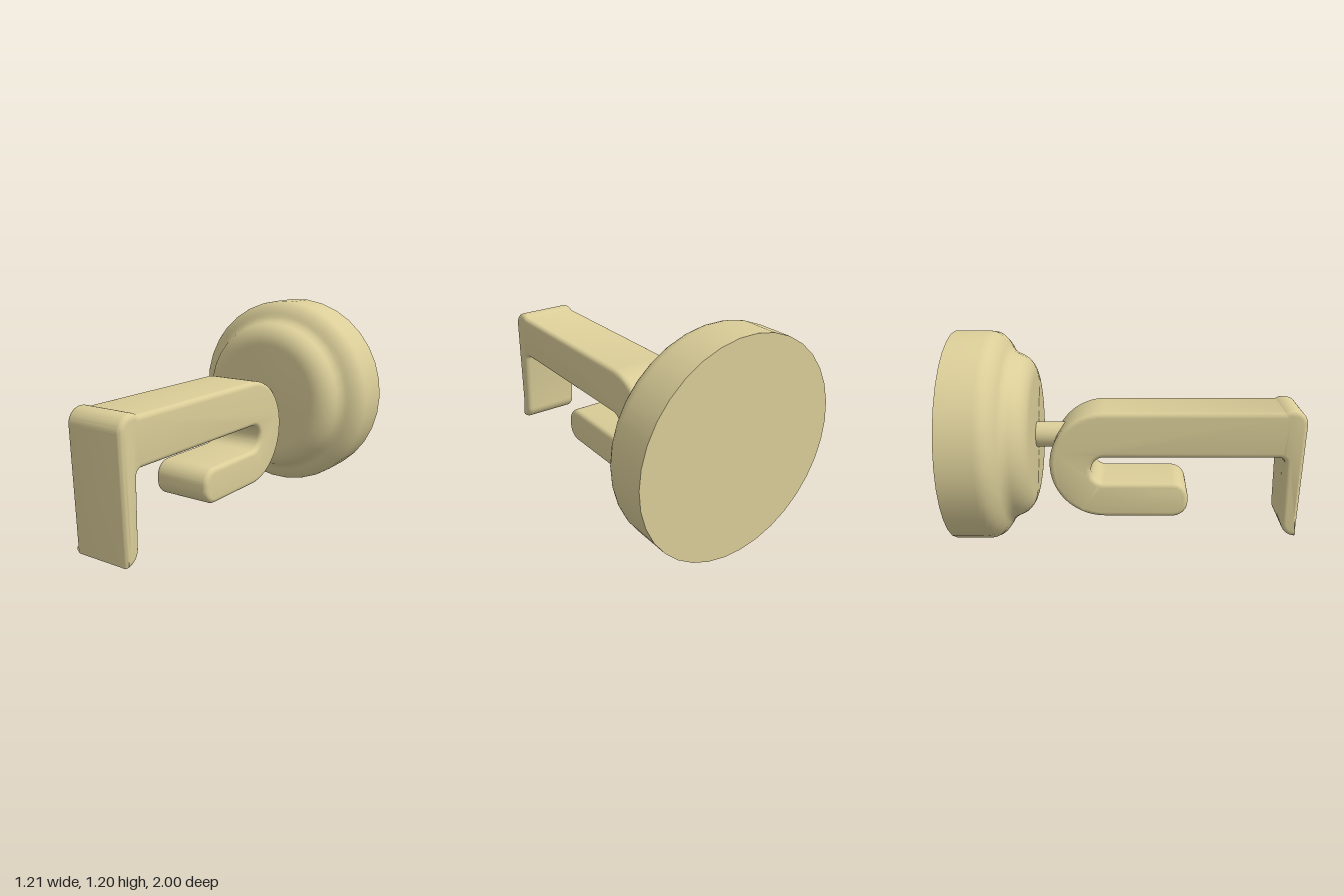
import * as THREE from 'three';
import { toCreasedNormals } from 'three/addons/utils/BufferGeometryUtils.js';

const material = new THREE.MeshStandardMaterial({ color: 0xdacd98 });
const AXIS_Y = 0.605; // height of the base and stem axis

function addPart(group, name, geometry) {
  const mesh = new THREE.Mesh(toCreasedNormals(geometry, 0.6), material);
  mesh.name = name;
  group.add(mesh);
}

// Side outline of the hook in (z, y), extruded across x with rounded edges
function hookGeometry() {
  const P = Math.PI;
  const s = new THREE.Shape();
  s.moveTo(1, 0.03);
  s.absarc(0.915, 0.715, 0.085, 0, 2.175, false);          // raised front lip
  s.absarc(-0.15, 0.47, 0.315, P / 2, 1.5 * P, false);     // big rear bend
  s.absarc(0.243, 0.245, 0.09, -P / 2, 0, false);          // tip of lower arm
  s.absarc(0.243, 0.273, 0.09, 0, P / 2, false);
  s.absarc(-0.15, 0.44, 0.077, 1.5 * P, P / 2, true);      // slot end
  s.absarc(0.85, 0.482, 0.035, P / 2, 0, true);            // inner fillet
  s.absarc(0.97, 0.115, 0.085, P, 1.5 * P, false);         // foot of front plate
  s.closePath();

  const bevel = 0.028, width = 0.36;
  const g = new THREE.ExtrudeGeometry(s, {
    depth: width - 2 * bevel, curveSegments: 18,
    bevelSize: bevel, bevelThickness: bevel, bevelOffset: -bevel, bevelSegments: 5,
  });
  g.translate(0, 0, bevel - width / 2);
  g.rotateY(-P / 2);
  return g;
}

// Turned wall base: straight rim, shoulder, concave neck, rounded front face
function baseGeometry() {
  const p = new THREE.Path();
  p.moveTo(0, -1);
  p.lineTo(0.605, -1);
  p.lineTo(0.605, -0.8);
  p.bezierCurveTo(0.605, -0.745, 0.56, -0.71, 0.515, -0.69);
  p.quadraticCurveTo(0.485, -0.672, 0.472, -0.635);
  p.bezierCurveTo(0.45, -0.58, 0.4, -0.55, 0.34, -0.55);
  p.lineTo(0, -0.55);
  const g = new THREE.LatheGeometry(p.getPoints(8), 34, Math.PI / 2);
  g.rotateX(Math.PI / 2);
  g.translate(0, AXIS_Y, 0);
  return g;
}

export function createModel() {
  const group = new THREE.Group();
  group.name = 'wallHook';
  addPart(group, 'hook', hookGeometry());
  addPart(group, 'wallBase', baseGeometry());

  // Short rod joining base and hook
  const stem = new THREE.CylinderGeometry(0.075, 0.075, 0.22, 24);
  stem.rotateX(Math.PI / 2);
  stem.translate(0, AXIS_Y, -0.46);
  addPart(group, 'stem', stem);
  return group;
}
